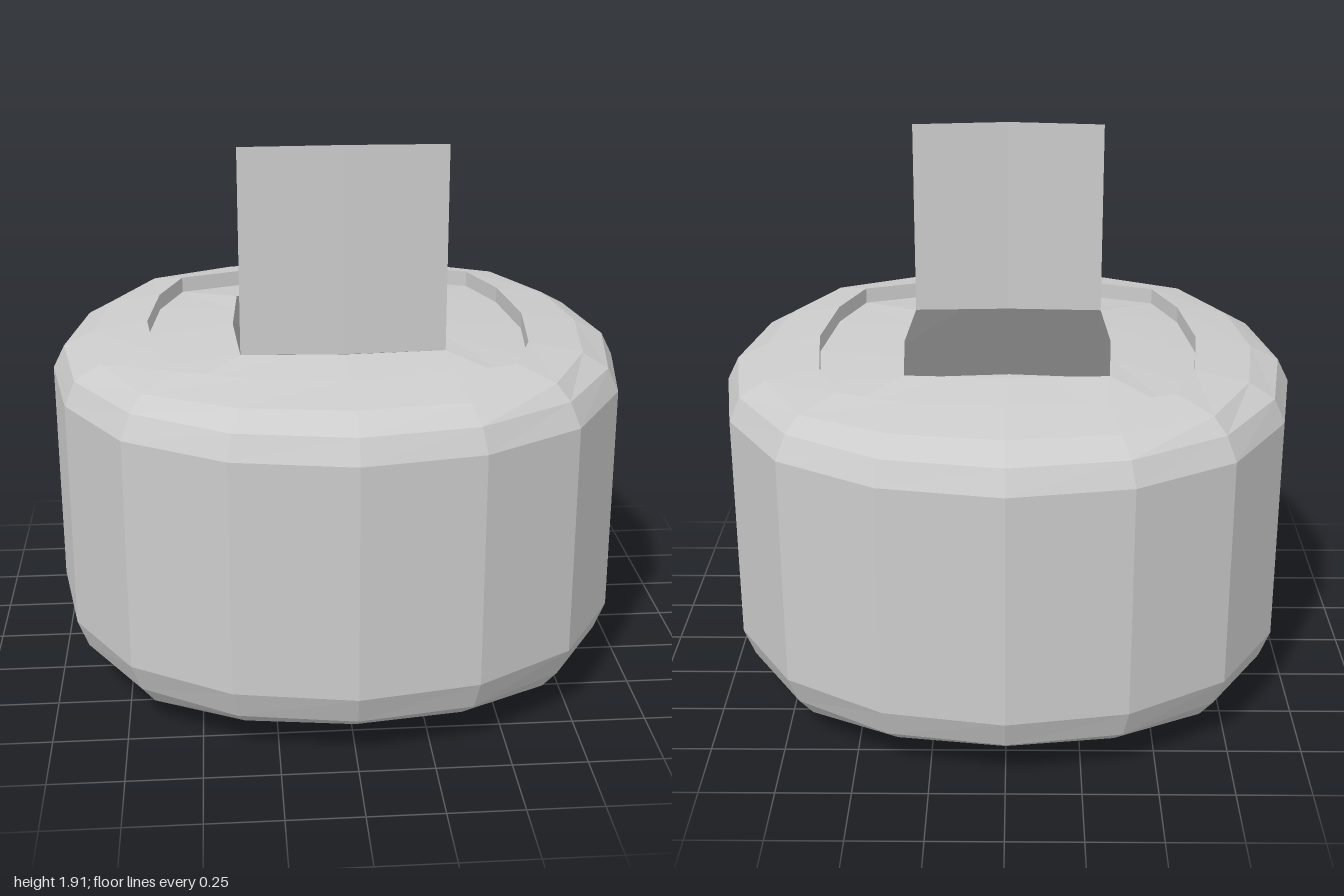
import * as THREE from 'three';

const material = new THREE.MeshStandardMaterial({
  color: 0xcccccc, flatShading: true, side: THREE.DoubleSide,
});

// A 16-point rounded-square ring: middle of side (0,m), shoulder (s,t), corner (c,c)
function ring(y, m, s, t, c) {
  const points = [];
  let quarter = [[0, m], [s, t], [c, c], [t, s]];
  for (let q = 0; q < 4; q++) {
    for (const [x, z] of quarter) points.push([x, y, z]);
    quarter = quarter.map(([x, z]) => [z, -x]);
  }
  return points;
}

// Skin neighbouring cross-sections with quads
function loft(name, sections, closed = true) {
  const n = sections[0].length;
  const index = [];
  for (let r = 0; r < sections.length - 1; r++) {
    for (let i = 0; i < (closed ? n : n - 1); i++) {
      const j = (i + 1) % n;
      const a = r * n + i, b = r * n + j;
      index.push(a, b, b + n, a, b + n, a + n);
    }
  }
  const geometry = new THREE.BufferGeometry();
  geometry.setAttribute('position', new THREE.Float32BufferAttribute(sections.flat(2), 3));
  geometry.setIndex(index);
  geometry.computeVertexNormals();
  const mesh = new THREE.Mesh(geometry, material);
  mesh.name = name;
  return mesh;
}

export function createModel() {
  const group = new THREE.Group();
  group.name = 'openContainer';

  const outer = [1, 0.4, 0.93, 0.73];
  const bevel = [0.96, 0.385, 0.895, 0.7];
  const shoulder = [0.86, 0.36, 0.81, 0.66];
  const lip = [0.665, 0.325, 0.63, 0.55];
  const hole = [0.365, 0.1725, 0.355, 0.345];
  const inside = [0.84, 0.41, 0.8, 0.7];
  const point = [0, 0, 0, 0];

  // Barrel with a shallow domed base and a rounded top edge
  group.add(loft('body', [
    ring(0, ...point),
    ring(0.012, ...hole),
    ring(0.045, ...lip),
    ring(0.09, ...shoulder),
    ring(0.16, ...bevel),
    ring(0.26, ...outer),
    ring(1.06, ...outer),
    ring(1.14, ...bevel),
    ring(1.19, ...shoulder),
    ring(1.222, ...lip),
  ]));

  // Short step inside the lip, then the lid rising to the opening
  group.add(loft('lipWall', [ring(1.222, ...lip), ring(1.165, ...lip)]));
  group.add(loft('lid', [ring(1.165, ...lip), ring(1.205, ...hole)]));

  // Cavity widening below the opening, with its floor
  group.add(loft('cavity', [
    ring(1.205, ...hole),
    ring(0.76, ...inside),
    ring(0.76, ...point),
  ]));

  // Thin flap standing on the front edge of the opening
  const flapEdge = (yEnd, yMid) => [[-0.345, yEnd, 0.345], [0, yMid, 0.362], [0.345, yEnd, 0.345]];
  group.add(loft('flap', [flapEdge(1.205, 1.205), flapEdge(1.905, 1.91)], false));

  return group;
}
